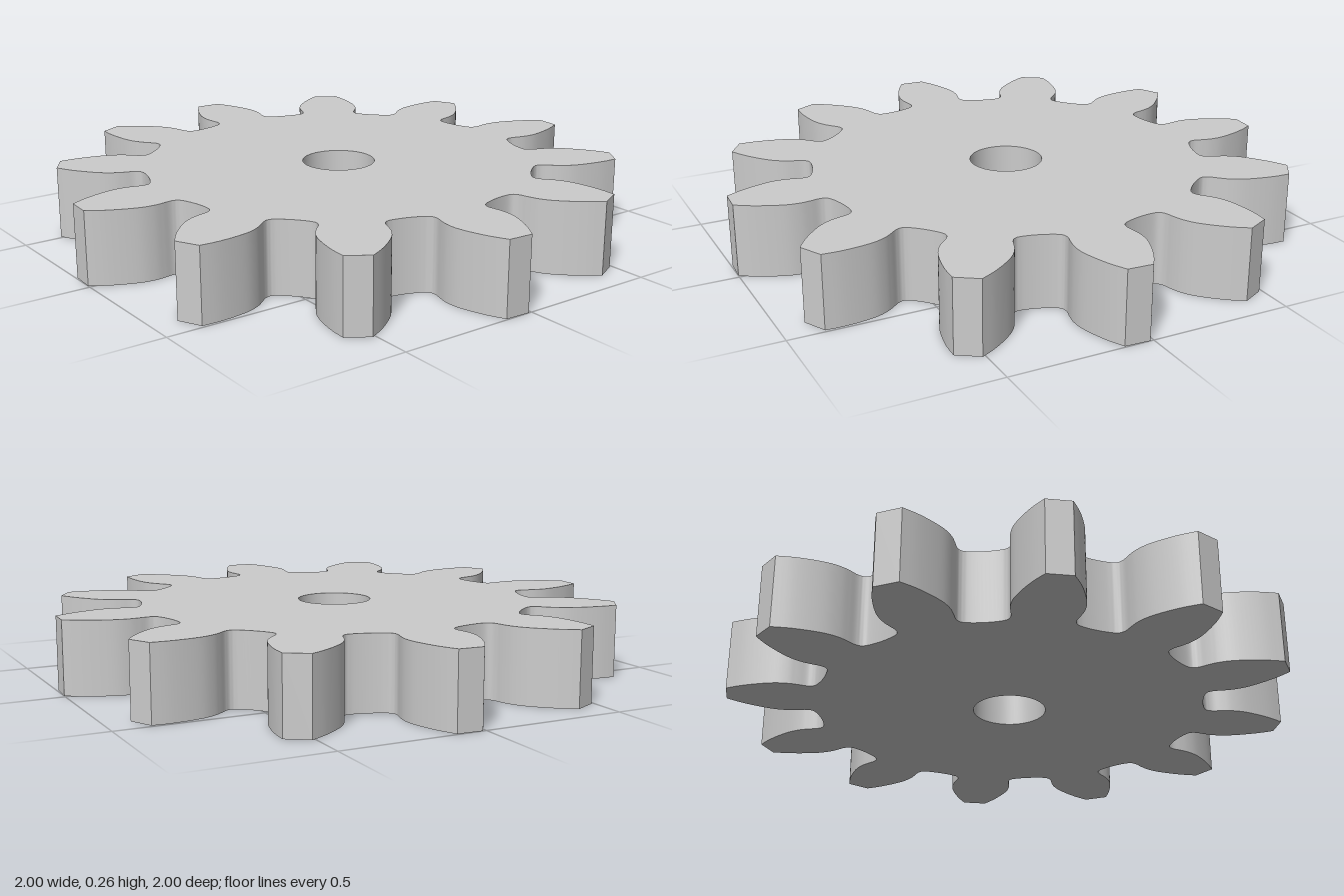
import * as THREE from 'three';
import { toCreasedNormals } from 'three/addons/utils/BufferGeometryUtils.js';

const TEETH = 12;
const HEIGHT = 0.257;
const TILT = 0.056; // rotation of the tooth ring
const STEP = (Math.PI * 2) / TEETH;

// Half of a tooth, tip to root: [half width, distance from the axle]
const FLANK = [
  [0.044, 0.999], [0.073, 0.948], [0.097, 0.89], [0.113, 0.835], [0.116, 0.79],
  [0.111, 0.755], [0.104, 0.722], [0.109, 0.698], [0.132, 0.682],
];
const ROOT = 0.689;

export function createModel() {
  const group = new THREE.Group();
  group.name = 'spurGear';

  // One smooth curve per gap: down one flank, across the root, up the next
  const outline = [];
  const centre = new THREE.Vector2();
  for (let i = 0; i < TEETH; i++) {
    const angle = i * STEP - TILT;
    const at = (x, y, a) => new THREE.Vector2(x, y).rotateAround(centre, a);
    const gap = [
      ...FLANK.map(([x, y]) => at(-x, y, angle)),
      at(0, ROOT, angle + STEP / 2),
      ...FLANK.map(([x, y]) => at(x, y, angle + STEP)).reverse(),
    ];
    outline.push(...new THREE.SplineCurve(gap).getPoints(72));
  }

  // Toothed disc with the axle bore
  const shape = new THREE.Shape(outline);
  const bore = new THREE.Path().absarc(0, 0, 0.129, 0, Math.PI * 2, true);
  shape.holes.push(new THREE.Path(bore.getPoints(32)));

  let geometry = new THREE.ExtrudeGeometry(shape, { depth: HEIGHT, bevelEnabled: false });
  geometry.rotateX(-Math.PI / 2);
  geometry = toCreasedNormals(geometry, 0.6);

  const gear = new THREE.Mesh(geometry, new THREE.MeshStandardMaterial({ color: 0xcccccc }));
  gear.name = 'toothedDisc';
  group.add(gear);
  return group;
}
